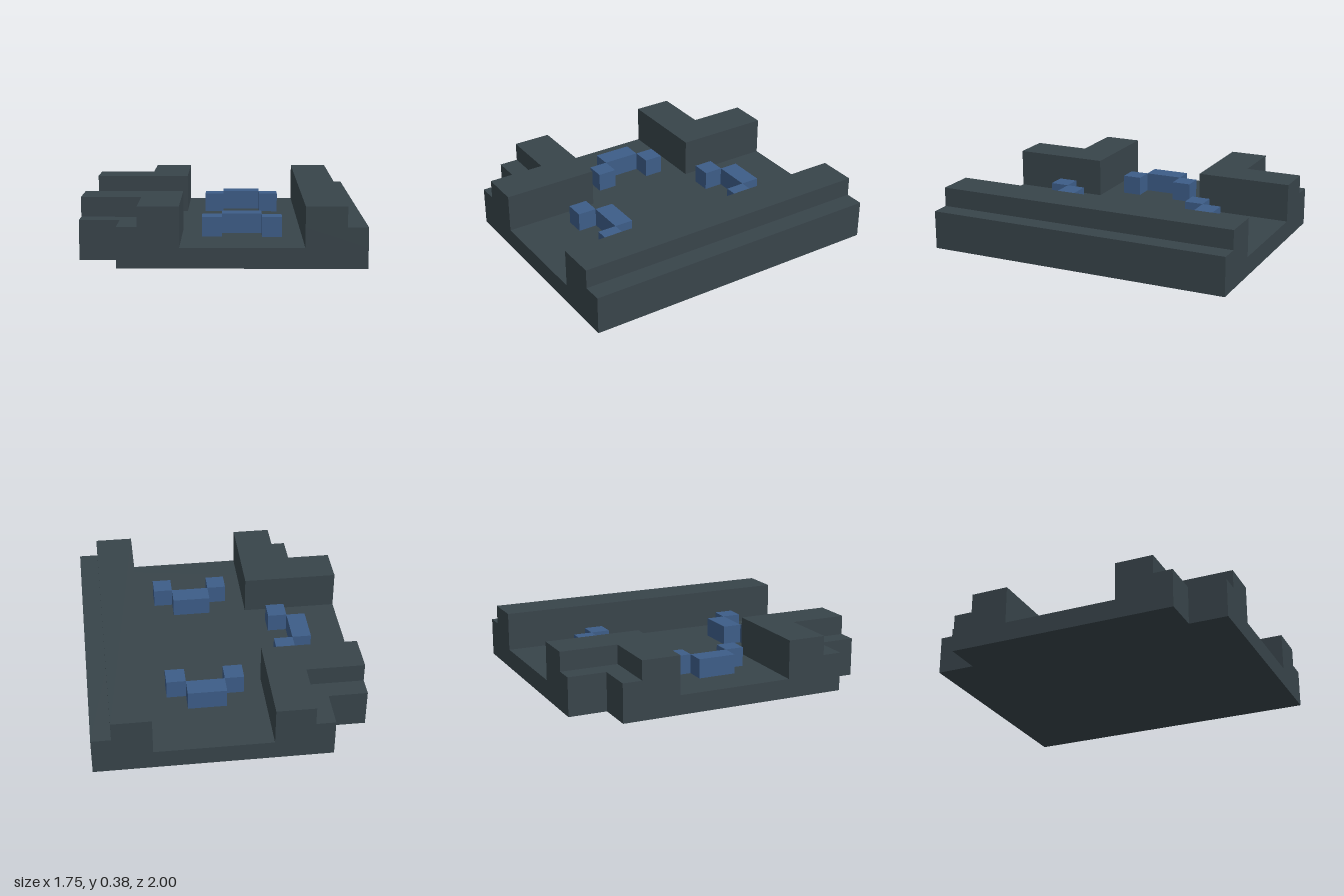
import * as THREE from 'three';

const stone = new THREE.MeshStandardMaterial({ color: 0x38444a });
stone.name = 'dark slate';
const blue = new THREE.MeshStandardMaterial({ color: 0x3d5d88 });
blue.name = 'seat blue';

// Upright slab from a plan outline of [x, z] corners; side = -1 mirrors it in z
function slab(name, plan, y0, y1, side = 1) {
  const shape = new THREE.Shape(plan.map(([x, z]) => new THREE.Vector2(x, -z * side)));
  const geo = new THREE.ExtrudeGeometry(shape, { depth: y1 - y0, bevelEnabled: false });
  geo.rotateX(-Math.PI / 2).translate(0, y0, 0);
  const mesh = new THREE.Mesh(geo, stone);
  mesh.name = name;
  return mesh;
}

const rect = (x0, x1, z0, z1) => [[x0, z0], [x1, z0], [x1, z1], [x0, z1]];

// One long block with a small block at each end, set forward along local +z
function seatGroup(name, x, z, turn) {
  const group = new THREE.Group();
  group.name = name;
  const add = (part, w, px, pz) => {
    const mesh = new THREE.Mesh(new THREE.BoxGeometry(w, 0.125, 0.125), blue);
    mesh.name = part;
    mesh.position.set(px, 0.1875, pz);
    group.add(mesh);
  };
  add('longBlock', 0.25, 0, 0);
  for (const s of [-1, 1]) add('endBlock', 0.125, s * 0.1875, 0.125);
  group.position.set(x, 0, z);
  group.rotation.y = turn;
  return group;
}

export function createModel() {
  const model = new THREE.Group();
  model.name = 'blockTerrain';

  // Floor with two notched corners
  model.add(slab('floor', [
    [-0.875, -0.75], [-0.625, -0.75], [-0.625, -1], [0.875, -1],
    [0.875, 1], [-0.625, 1], [-0.625, 0.75], [-0.875, 0.75],
  ], 0, 0.125));

  // Long stepped wall
  model.add(slab('longWallLower', rect(0.5, 0.875, -1, 1), 0.125, 0.25));
  model.add(slab('longWallUpper', rect(0.5, 0.75, -1, 1), 0.25, 0.375));

  // Stepped corner walls, mirrored front to back
  for (const side of [1, -1]) {
    const corner = new THREE.Group();
    corner.name = side > 0 ? 'frontCornerWall' : 'backCornerWall';
    const tier = (nx, nz, ox) => [
      [-0.875, 0.375], [-0.25, 0.375], [-0.25, 1], [ox, 1], [nx, nz], [-0.875, nz],
    ];
    corner.add(slab('lowerTier', tier(-0.625, 0.75, -0.625), 0.125, 0.25, side));
    corner.add(slab('upperTier', tier(-0.5, 0.625, -0.5), 0.25, 0.375, side));
    model.add(corner);
  }

  // Blue block groups
  model.add(seatGroup('backBlocks', 0.125, -0.5625, 0));
  model.add(seatGroup('frontBlocks', 0.125, 0.4375, 0));
  model.add(seatGroup('sideBlocks', -0.5625, 0, Math.PI / 2));
  return model;
}
